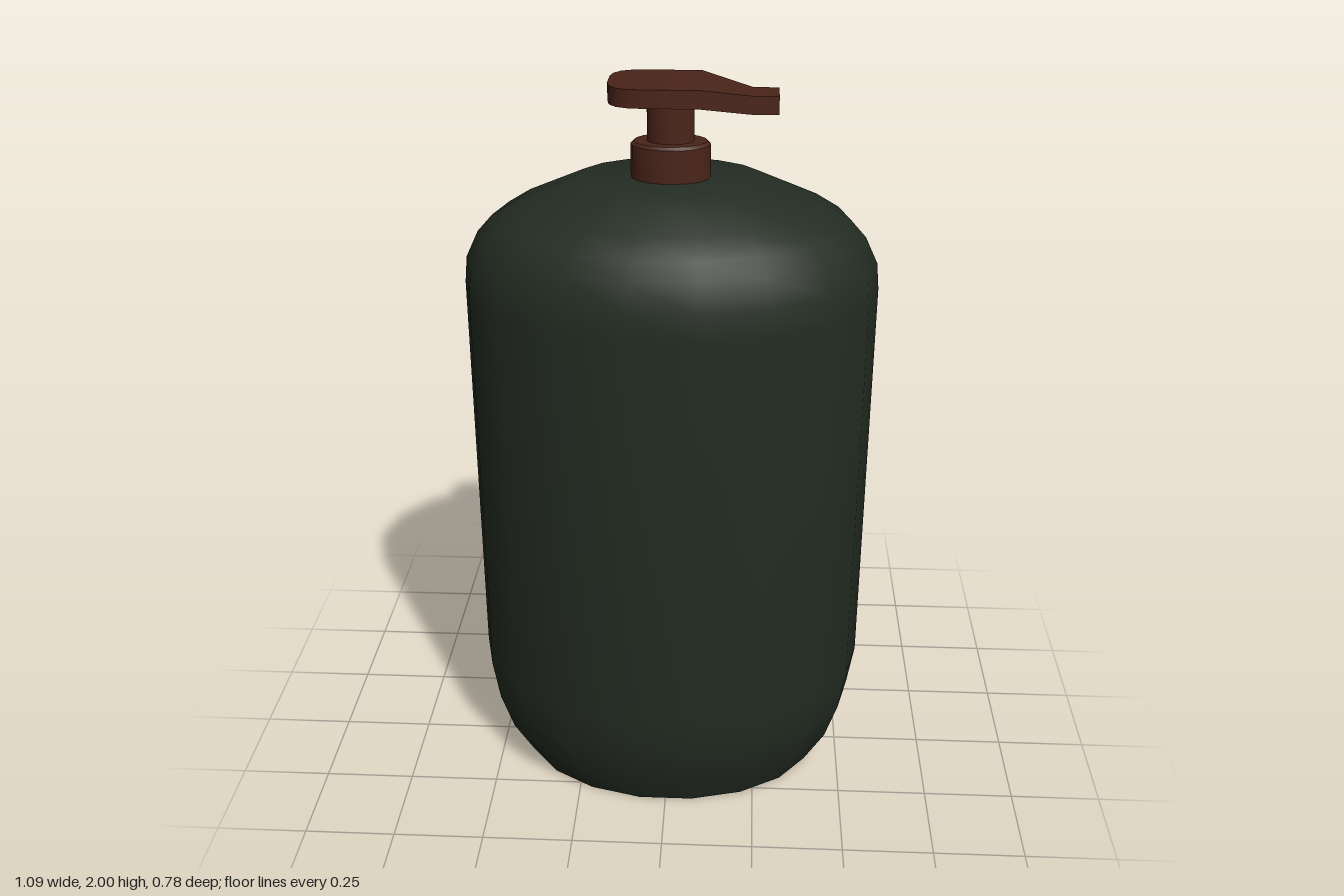
import * as THREE from 'three';
import { toCreasedNormals } from 'three/addons/utils/BufferGeometryUtils.js';

const DEPTH_RATIO = 0.725; // every round part is an ellipse, shallower in z

const bottleMat = new THREE.MeshStandardMaterial({ color: 0x232c22 });
const pumpMat = new THREE.MeshStandardMaterial({ color: 0x4a2419 });

function part(name, geometry, material, crease) {
  const mesh = new THREE.Mesh(toCreasedNormals(geometry, crease), material);
  mesh.name = name;
  return mesh;
}

// Elliptical turned form from [radius, y] pairs, with a corner on the x axis
function turned(profile, sides) {
  const points = profile.map(([r, y]) => new THREE.Vector2(r, y));
  return new THREE.LatheGeometry(points, sides, Math.PI / 2).scale(1, 1, DEPTH_RATIO);
}

// Pump head: a bar of rectangular slices [x, half width, y of centre]
function headGeometry() {
  const slices = [
    [-0.155, 0.035, 1.977], [-0.148, 0.07, 1.977], [-0.13, 0.094, 1.977],
    [-0.1, 0.107, 1.977], [-0.065, 0.11, 1.977], [0.075, 0.11, 1.977],
    [0.205, 0.048, 1.95], [0.27, 0.048, 1.95],
  ];
  const n = slices.length - 1;
  const geometry = new THREE.BoxGeometry(1, 0.046, 1, n, 1, 1);
  const p = geometry.attributes.position;
  for (let i = 0; i < p.count; i++) {
    const [x, half, y] = slices[Math.round((p.getX(i) + 0.5) * n)];
    p.setXYZ(i, x, p.getY(i) + y, Math.sign(p.getZ(i)) * half);
  }
  return geometry;
}

export function createModel() {
  const model = new THREE.Group();
  model.name = 'soapDispenser';

  // Bottle with tucked-in base and rounded shoulders
  model.add(part('bottle', turned([
    [0, 0], [0.43, 0], [0.49, 0.1], [0.526, 0.21], [0.545, 0.33], [0.545, 1.46],
    [0.538, 1.53], [0.505, 1.6], [0.465, 1.645], [0.4, 1.685], [0.24, 1.755], [0, 1.755],
  ], 18), bottleMat, 0.7));

  // Pump: collar, stem and head with spout
  const pump = new THREE.Group();
  pump.name = 'pump';
  pump.add(part('collar', turned([
    [0, 1.75], [0.102, 1.75], [0.102, 1.84], [0.094, 1.848], [0, 1.848],
  ], 18), pumpMat, 0.6));
  pump.add(part('stem', turned([
    [0, 1.84], [0.06, 1.84], [0.06, 1.96], [0, 1.96],
  ], 18), pumpMat, 0.6));
  pump.add(part('headAndSpout', headGeometry(), pumpMat, 0.6));
  model.add(pump);

  return model;
}
